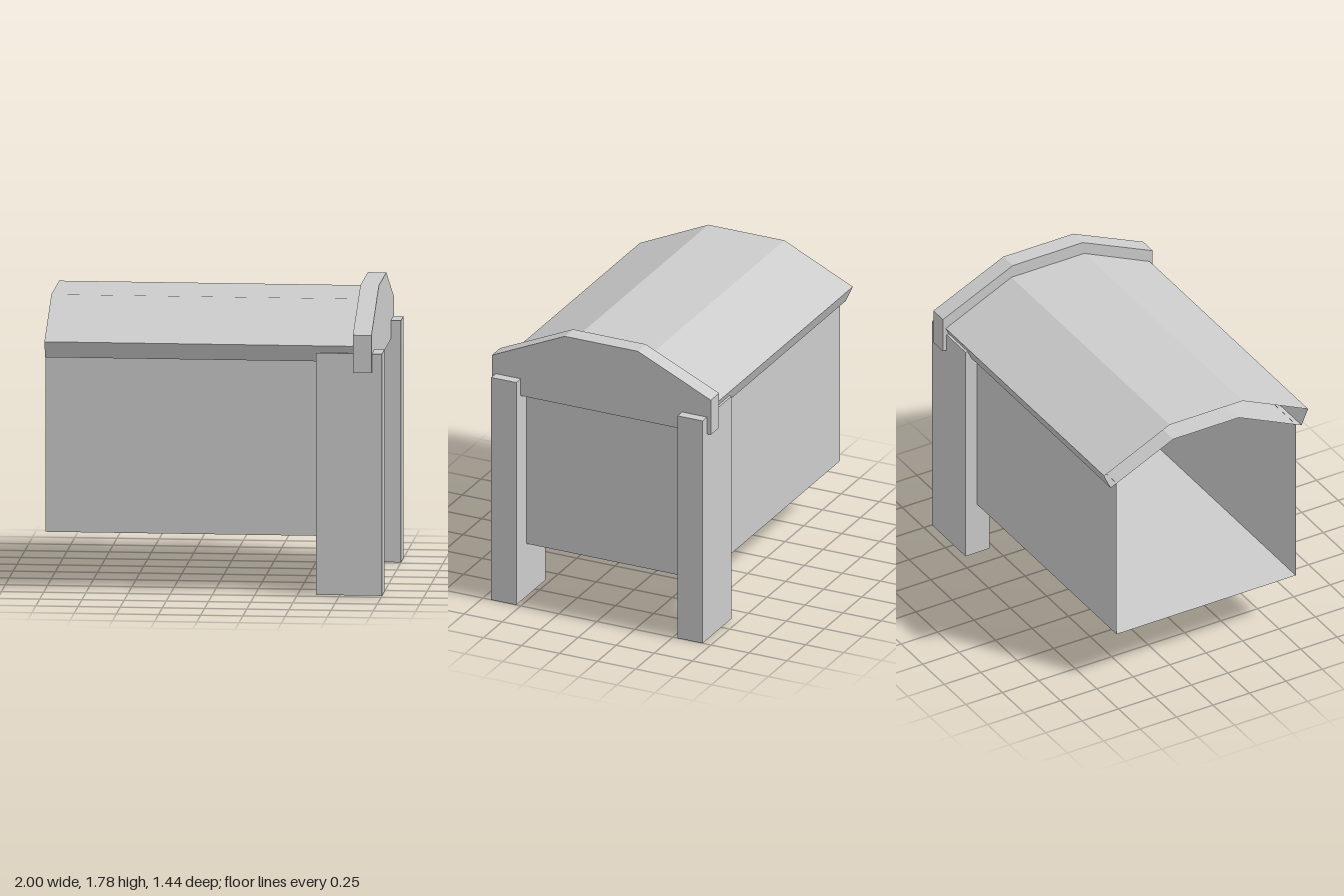
import * as THREE from 'three';

const solid = new THREE.MeshStandardMaterial({ color: 0xcccccc, flatShading: true });
const thin = new THREE.MeshStandardMaterial({ color: 0xcccccc, flatShading: true, side: THREE.DoubleSide });

// Sweep a [z, y] profile along x as an open-ended sheet
function sheet(profile, x0, x1) {
  const pos = [];
  for (let i = 0; i < profile.length - 1; i++) {
    const [pz, py] = profile[i], [qz, qy] = profile[i + 1];
    const a = [x0, py, pz], b = [x1, py, pz], c = [x1, qy, qz], d = [x0, qy, qz];
    pos.push(...a, ...b, ...c, ...a, ...c, ...d);
  }
  const g = new THREE.BufferGeometry();
  g.setAttribute('position', new THREE.Float32BufferAttribute(pos, 3));
  g.computeVertexNormals();
  return g;
}

export function createModel() {
  const group = new THREE.Group();
  const add = (name, geometry, material) => {
    const mesh = new THREE.Mesh(geometry, material);
    mesh.name = name;
    group.add(mesh);
    return mesh;
  };

  const w = 0.615, floorY = 0.34, wallTop = 1.41, endX = 0.86;

  // Floor and side walls, open at the -x end
  add('floorAndSideWalls', sheet([[-w, wallTop], [-w, floorY], [w, floorY], [w, wallTop]], -1, endX), thin);

  // End wall
  const end = add('endWall', new THREE.PlaneGeometry(2 * w, wallTop - floorY), thin);
  end.rotation.y = Math.PI / 2;
  end.position.set(endX, (wallTop + floorY) / 2, 0);

  // Hollow roof shell: outer slopes, slanted eaves and parallel underside
  add('roof', sheet([
    [0.7, 1.49], [0.25, 1.7], [-0.25, 1.7], [-0.7, 1.49],
    [-0.655, 1.39], [-0.225, 1.59], [0.225, 1.59], [0.655, 1.39], [0.7, 1.49],
  ], -1, endX), thin);

  // Gable board standing proud of the roof
  const outline = [[-0.72, 1.335], [0.72, 1.335], [0.72, 1.56], [0.24, 1.78], [-0.24, 1.78], [-0.72, 1.56]];
  const gable = new THREE.ExtrudeGeometry(
    new THREE.Shape(outline.map(([z, y]) => new THREE.Vector2(z, y))),
    { depth: 0.11, bevelEnabled: false });
  gable.rotateY(Math.PI / 2);
  add('gableBoard', gable, solid).position.x = 0.83;

  // Corner posts
  for (const s of [1, -1]) {
    add(s > 0 ? 'frontPost' : 'backPost', new THREE.BoxGeometry(0.39, 1.445, 0.165), solid)
      .position.set(0.805, 0.7225, s * 0.6125);
  }
  return group;
}
